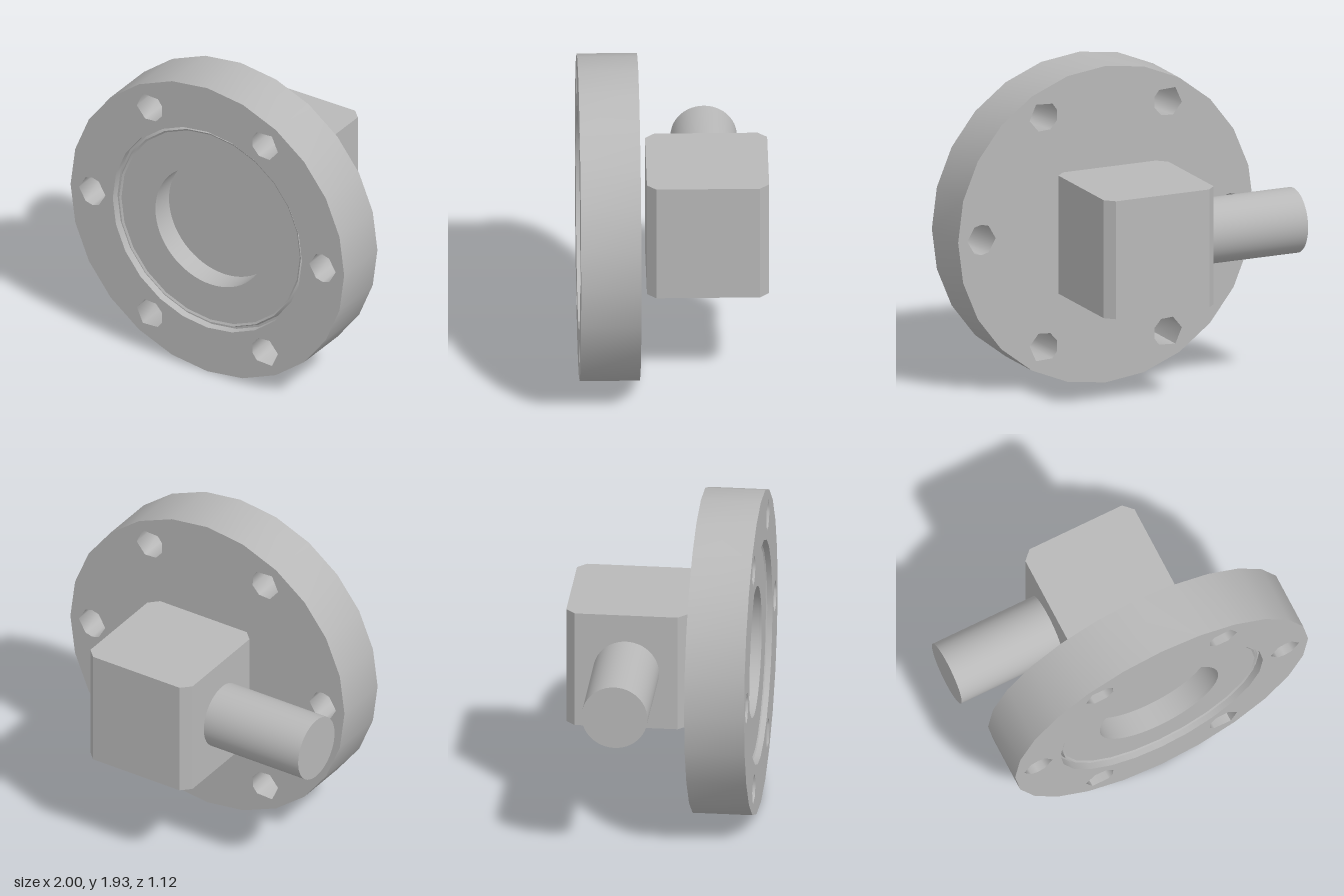
import * as THREE from 'three';
import { toCreasedNormals } from 'three/addons/utils/BufferGeometryUtils.js';

const CX = 0.034, CY = 0.967;   // flange axis
const RIM_SIDES = 24, ROUND_SIDES = 64;

const degrees = (list) => list.map((a) => THREE.MathUtils.degToRad(a));
const polygon = (r, angles, x = 0, y = 0) =>
  angles.map((a) => new THREE.Vector2(x + r * Math.cos(a), y + r * Math.sin(a)));
const regular = (r, sides) =>
  polygon(r, Array.from({ length: sides }, (_, i) => (i / sides) * Math.PI * 2));

// Flat plate with holes, from z0 to z1
function plate(outline, holes, z0, z1) {
  const shape = new THREE.Shape(outline);
  shape.holes = holes.map((h) => new THREE.Path(h));
  const geo = new THREE.ExtrudeGeometry(shape, { depth: z1 - z0, bevelEnabled: false });
  geo.translate(0, 0, z0);
  return toCreasedNormals(geo, 1.2);
}

// Six coarse bolt holes, mirrored left-right and top-bottom
function boltHoles() {
  const pitch = 0.813, r = 0.093;
  const side = degrees([0, 60, 90, 120, 180, 240, 270, 300]);
  const corner = degrees([58, 128, 158, 200, 242, 291, 350]);
  const holes = [];
  for (const sx of [1, -1]) {
    holes.push(polygon(r, side, sx * pitch, 0));
    for (const sy of [1, -1]) {
      const pts = polygon(r, corner, pitch / 2, pitch * Math.sin(Math.PI / 3));
      holes.push(pts.map((p) => new THREE.Vector2(p.x * sx, p.y * sy)));
    }
  }
  return holes;
}

export function createModel() {
  const model = new THREE.Group();
  model.name = 'flangedFitting';
  const steel = new THREE.MeshStandardMaterial({ color: 0xb8b8b8 });
  steel.name = 'steelGrey';

  const add = (parent, name, geometry) => {
    const mesh = new THREE.Mesh(geometry, steel);
    mesh.name = name;
    parent.add(mesh);
    return mesh;
  };

  const flange = new THREE.Group();
  flange.name = 'flange';
  flange.position.set(CX, CY, 0);
  model.add(flange);

  // Bolted rim
  const recess = regular(0.668, RIM_SIDES);
  add(flange, 'boltRim', plate(regular(0.966, RIM_SIDES), [recess, ...boltHoles()], 0.205, 0.56));

  // Recessed hub: wide socket behind, bore in front
  const bore = regular(0.39, ROUND_SIDES);
  add(flange, 'hubBack', plate(recess, [regular(0.46, ROUND_SIDES)], 0.205, 0.3));
  add(flange, 'hubFront', plate(recess, [bore], 0.3, 0.51));
  add(flange, 'sealFace', plate(regular(0.642, RIM_SIDES), [bore], 0.51, 0.525));

  // Raised sealing edge around the seal face
  const edge = [[0.655, 0.51], [0.642, 0.532], [0.63, 0.525]];
  const ridge = new THREE.LatheGeometry(edge.map(([r, h]) => new THREE.Vector2(r, h)), RIM_SIDES);
  ridge.rotateX(Math.PI / 2);
  add(flange, 'sealRidge', toCreasedNormals(ridge, 0.6));

  // Plug closing the bore from behind
  const plug = new THREE.CylinderGeometry(0.46, 0.46, 0.172, ROUND_SIDES);
  plug.rotateX(Math.PI / 2);
  plug.translate(0, 0, 0.294);
  add(flange, 'borePlug', plug);

  // Block with chamfered upright edges
  const h = 0.36, c = h - 0.055;
  const outline = [[h, -c], [h, c], [c, h], [-c, h], [-h, c], [-h, -c], [-c, -h], [c, -h]]
    .map(([x, y]) => new THREE.Vector2(x, y));
  const block = new THREE.ExtrudeGeometry(new THREE.Shape(outline), { depth: 2 * h, bevelEnabled: false });
  block.translate(0, 0, -h);
  block.rotateX(-Math.PI / 2);
  add(model, 'block', block).position.set(CX - 0.002, 0.97, -0.2);

  // Side shaft
  const shaft = new THREE.CylinderGeometry(0.195, 0.195, 0.665, 48);
  shaft.rotateZ(Math.PI / 2);
  add(model, 'shaft', shaft).position.set(-0.6675, 0.97, -0.2);

  return model;
}
